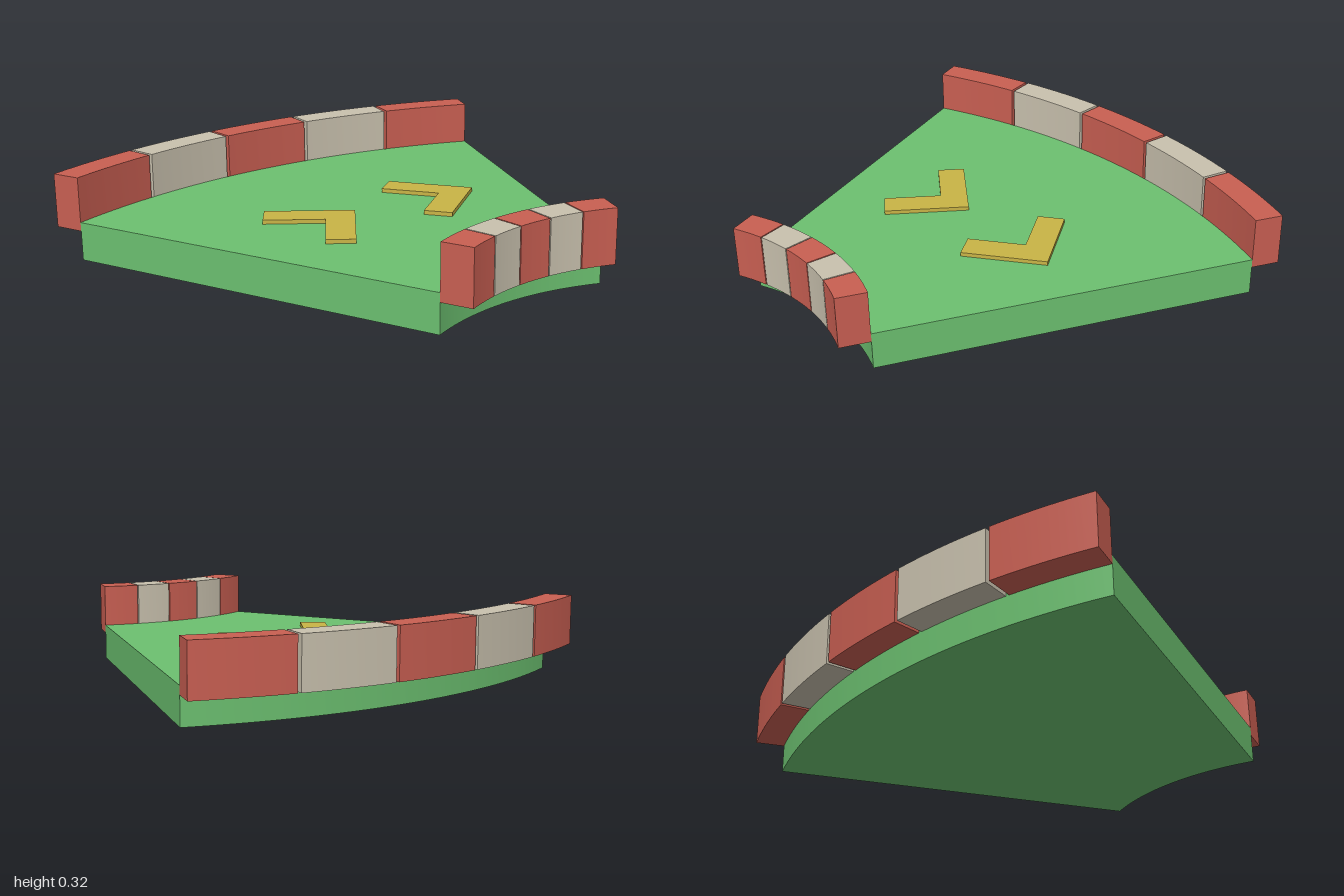
import * as THREE from 'three';
import { toCreasedNormals } from 'three/addons/utils/BufferGeometryUtils.js';

// Shared bend centre in plan (shape y = -z) and bend angle
const CX = 1.612, CY = -0.923, BEND = Math.PI / 4;

function material(name, color) {
  const m = new THREE.MeshStandardMaterial({ color });
  m.name = name;
  return m;
}

// Point at a radius and an angle along the bend
function polar(r, a) {
  return new THREE.Vector2(CX - r * Math.cos(a), CY + r * Math.sin(a));
}

// Extrude a plan shape upward from y0 to y1
function slab(name, shape, y0, y1, mat, curveSegments = 6) {
  const geo = new THREE.ExtrudeGeometry(shape, { depth: y1 - y0, bevelEnabled: false, curveSegments });
  geo.rotateX(-Math.PI / 2);
  geo.translate(0, y0, 0);
  const mesh = new THREE.Mesh(toCreasedNormals(geo, 0.4), mat);
  mesh.name = name;
  return mesh;
}

// Ring sector between two radii and two bend angles
function sector(r0, r1, a0, a1) {
  const shape = new THREE.Shape();
  shape.absarc(CX, CY, r1, Math.PI - a0, Math.PI - a1, true);
  shape.absarc(CX, CY, r0, Math.PI - a1, Math.PI - a0, false);
  shape.closePath();
  return shape;
}

// Right-angled chevron pointing along the bend
function chevron(a) {
  const len = 0.346, w = 0.111;
  const tip = polar(1.741, a).add(new THREE.Vector2(Math.sin(a), Math.cos(a)).multiplyScalar(0.183));
  const corners = [[0, 0], [-len, 0], [-len, -w], [-w, -w], [-w, -len], [0, -len]];
  const turn = Math.PI / 4 - a;
  return new THREE.Shape(corners.map(([x, y]) =>
    new THREE.Vector2(x, y).rotateAround(new THREE.Vector2(), turn).add(tip)));
}

export function createModel() {
  const model = new THREE.Group();
  model.name = 'curvedTrack';
  const green = material('green', 0x6cc070);
  const red = material('red', 0xc95f52);
  const cream = material('cream', 0xc9c1ae);
  const gold = material('gold', 0xc9b446);

  // Floor
  model.add(slab('floor', sector(0.985, 2.497, 0, BEND), 0, 0.148, green, 30));

  // Kerbs: five alternating blocks with narrow gaps
  const gap = THREE.MathUtils.degToRad(0.3);
  const span = (BEND - 4 * gap) / 5;
  for (const [name, r0, r1] of [['outerKerb', 2.497, 2.612], ['innerKerb', 0.865, 0.985]]) {
    const kerb = new THREE.Group();
    kerb.name = name;
    for (let i = 0; i < 5; i++) {
      const a = i * (span + gap);
      kerb.add(slab(name + 'Block' + (i + 1), sector(r0, r1, a, a + span), 0.114, 0.322, i % 2 ? cream : red));
    }
    model.add(kerb);
  }

  // Direction arrows
  [0.3, 0.7].forEach((t, i) => {
    model.add(slab('arrow' + (i + 1), chevron(BEND * t), 0.146, 0.164, gold));
  });

  return model;
}
